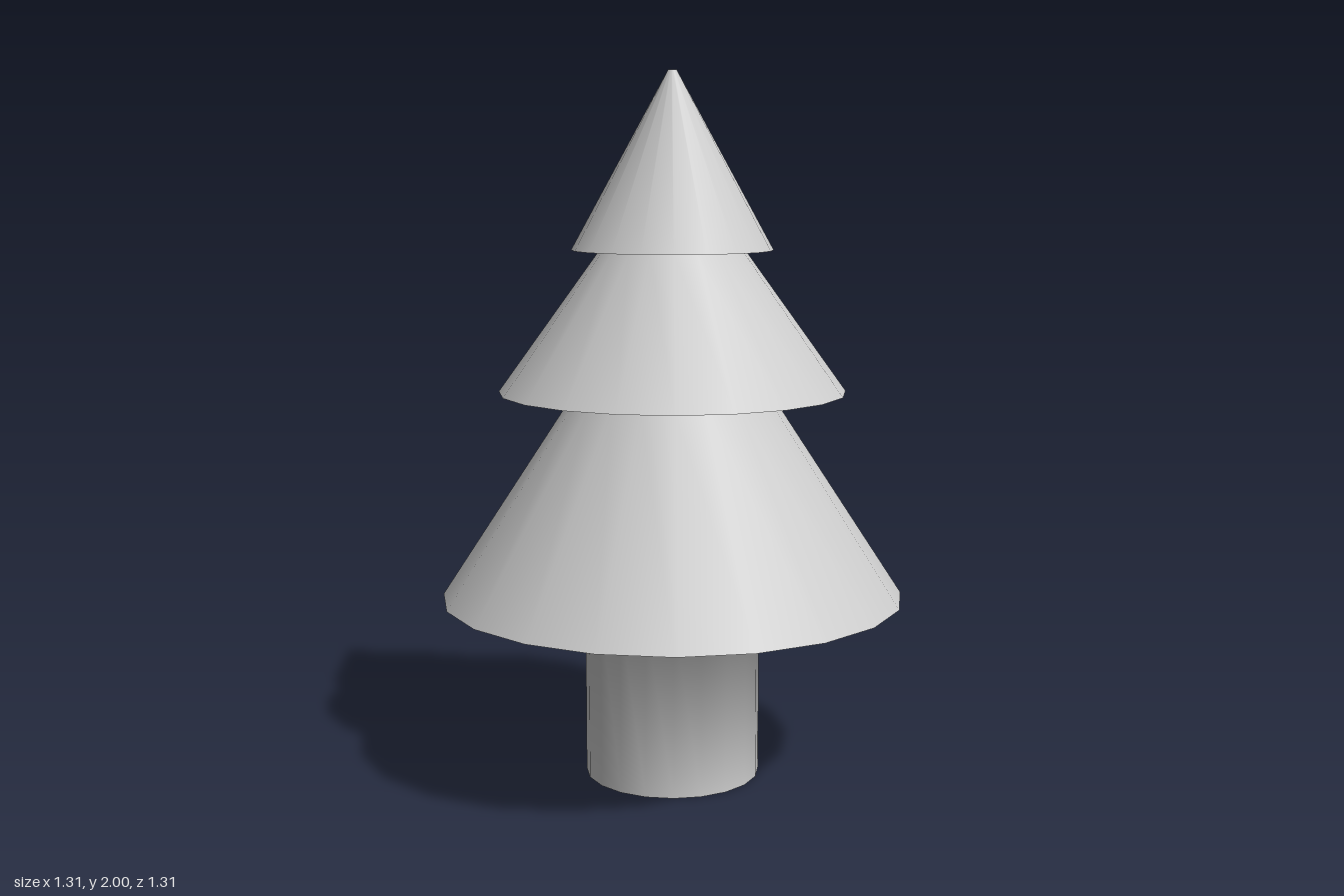
import * as THREE from 'three';

const SIDES = 20;

export function createModel() {
  const tree = new THREE.Group();
  tree.name = 'tree';
  const grey = new THREE.MeshStandardMaterial({ name: 'light grey', color: 0xcccccc });

  // Revolved surface; the profile is smooth along its length, separate pieces meet in sharp edges
  const revolve = (parent, name, ...profile) => {
    const points = profile.map(([r, y]) => new THREE.Vector2(r, y));
    const mesh = new THREE.Mesh(new THREE.LatheGeometry(points, SIDES), grey);
    mesh.name = name;
    parent.add(mesh);
  };

  // Trunk flows smoothly into the underside of the lowest branches
  revolve(tree, 'trunkBase', [0, 0], [0.25, 0]);
  revolve(tree, 'trunk', [0.25, 0], [0.25, 0.513], [0.657, 0.524]);

  // Branch tiers: rim radius and height, top radius and height, inner edge of the underside
  const tiers = [
    { name: 'lowerBranches', rim: [0.657, 0.524], top: [0.285, 1.093] },
    { name: 'middleBranches', rim: [0.49, 1.11], top: [0.205, 1.505], inner: [0.285, 1.093] },
    { name: 'upperBranches', rim: [0.283, 1.507], top: [0.012, 2], inner: [0.205, 1.505] },
  ];
  for (const { name, rim, top, inner } of tiers) {
    const tier = new THREE.Group();
    tier.name = name;
    revolve(tier, name + 'Slope', rim, top);
    if (inner) revolve(tier, name + 'Underside', inner, rim);
    tree.add(tier);
  }

  // Tiny flat tip
  revolve(tree, 'tip', [0.012, 2], [0, 2]);
  return tree;
}
